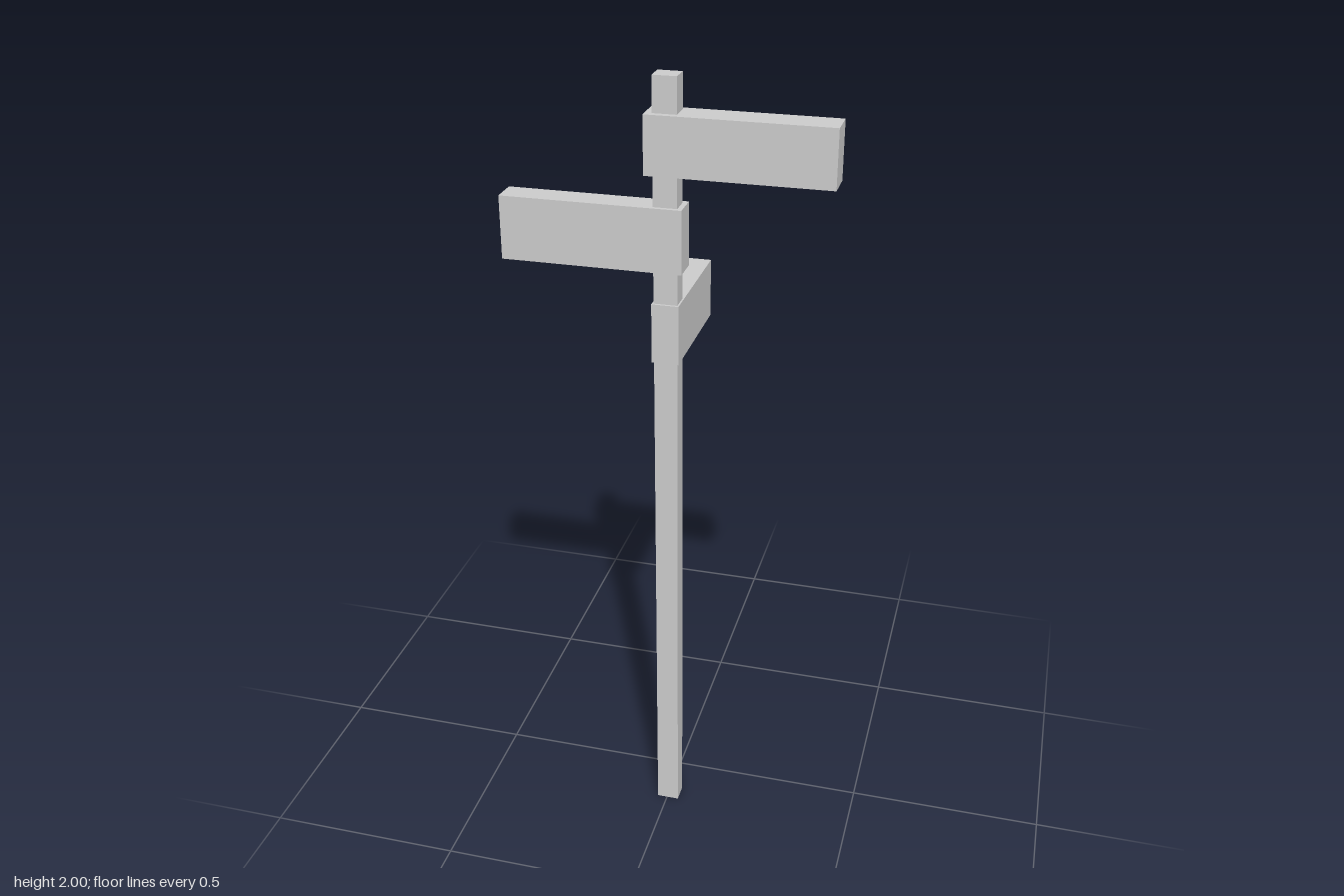
import * as THREE from 'three';

export function createModel() {
  const group = new THREE.Group();
  const material = new THREE.MeshStandardMaterial({ color: 0xcccccc, flatShading: true });

  // Box between two opposite corners
  const addBox = (name, min, max) => {
    const size = max.map((v, i) => v - min[i]);
    const mesh = new THREE.Mesh(new THREE.BoxGeometry(...size), material);
    mesh.position.set(...max.map((v, i) => (v + min[i]) / 2));
    mesh.name = name;
    group.add(mesh);
  };

  // Square post
  addBox('post', [-0.026, 0, 0.1], [0.031, 2, 0.148]);

  // Direction boards, each pointing a different way
  addBox('leftBoard', [-0.043, 1.78, 0.085], [0.388, 1.917, 0.163]);
  addBox('rightBoard', [-0.39, 1.552, 0.089], [0.043, 1.705, 0.158]);
  addBox('backBoard', [-0.03, 1.326, -0.163], [0.035, 1.473, 0.154]);

  return group;
}
